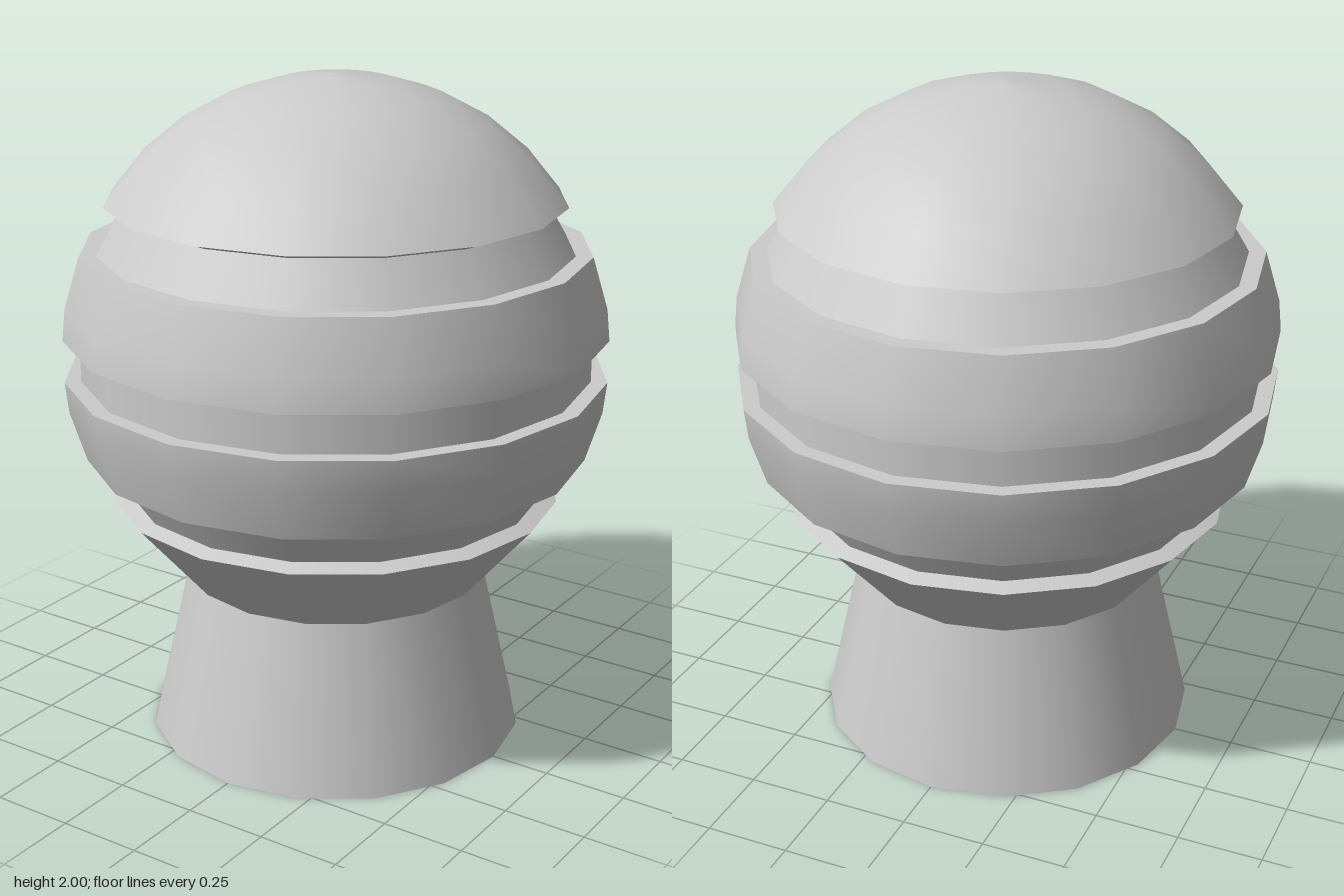
import * as THREE from 'three';

const SIDES = 16, CENTRE = 1.195, OUTER = 0.805, CORE = 0.76;
const material = new THREE.MeshStandardMaterial({ color: 0xcccccc });

// Points on a sphere profile, from elevation a to b (degrees, rising)
function arc(radius, a, b, steps) {
  return Array.from({ length: steps + 1 }, (_, i) => {
    const t = THREE.MathUtils.degToRad(a + ((b - a) * i) / steps);
    return [Math.max(0, radius * Math.cos(t)), CENTRE + radius * Math.sin(t)];
  });
}

// A turned part: each run is smooth, with hard edges between runs (bottom to top)
function turned(name, ...runs) {
  const part = new THREE.Group();
  part.name = name;
  for (const run of runs) {
    const points = run.map(([r, y]) => new THREE.Vector2(r, y));
    const mesh = new THREE.Mesh(new THREE.LatheGeometry(points, SIDES), material);
    mesh.name = name + 'Surface';
    part.add(mesh);
  }
  return part;
}

// A raised band on the sphere with flat top and bottom rims
function band(name, curve) {
  const low = curve[0], high = curve[curve.length - 1];
  return turned(name, [[0.69, low[1]], low], curve, [high, [0.69, high[1]]]);
}

export function createModel() {
  const model = new THREE.Group();
  model.name = 'bandedKnob';

  // Tapered foot and the flared collar above it
  model.add(turned('foot', [[0, 0], [0.57, 0]], [[0.57, 0], [0.455, 0.503]]));
  model.add(turned('collar',
    [[0.455, 0.503], [0.667, 0.752]],
    [[0.667, 0.752], [0.622, 0.769]]));

  // Inner sphere, seen in the grooves
  model.add(turned('core',
    [[0.622, 0.769], [0.694, 0.888]],
    [[0.752, 1.132], [0.752, 1.258]],
    [[0.694, 1.503], [0.622, 1.625]]));

  // Two raised bands, mirrored about the centre
  model.add(band('lowerBand', [[0.744, 0.888], [0.79, 1.038], [0.8, 1.132]]));
  model.add(band('upperBand', [[0.8, 1.258], [0.79, 1.352], [0.744, 1.503]]));

  // Overhanging dome
  model.add(turned('dome',
    [[0.622, 1.625], [0.667, 1.643]],
    arc(OUTER, 33.75, 90, 5)));

  return model;
}
